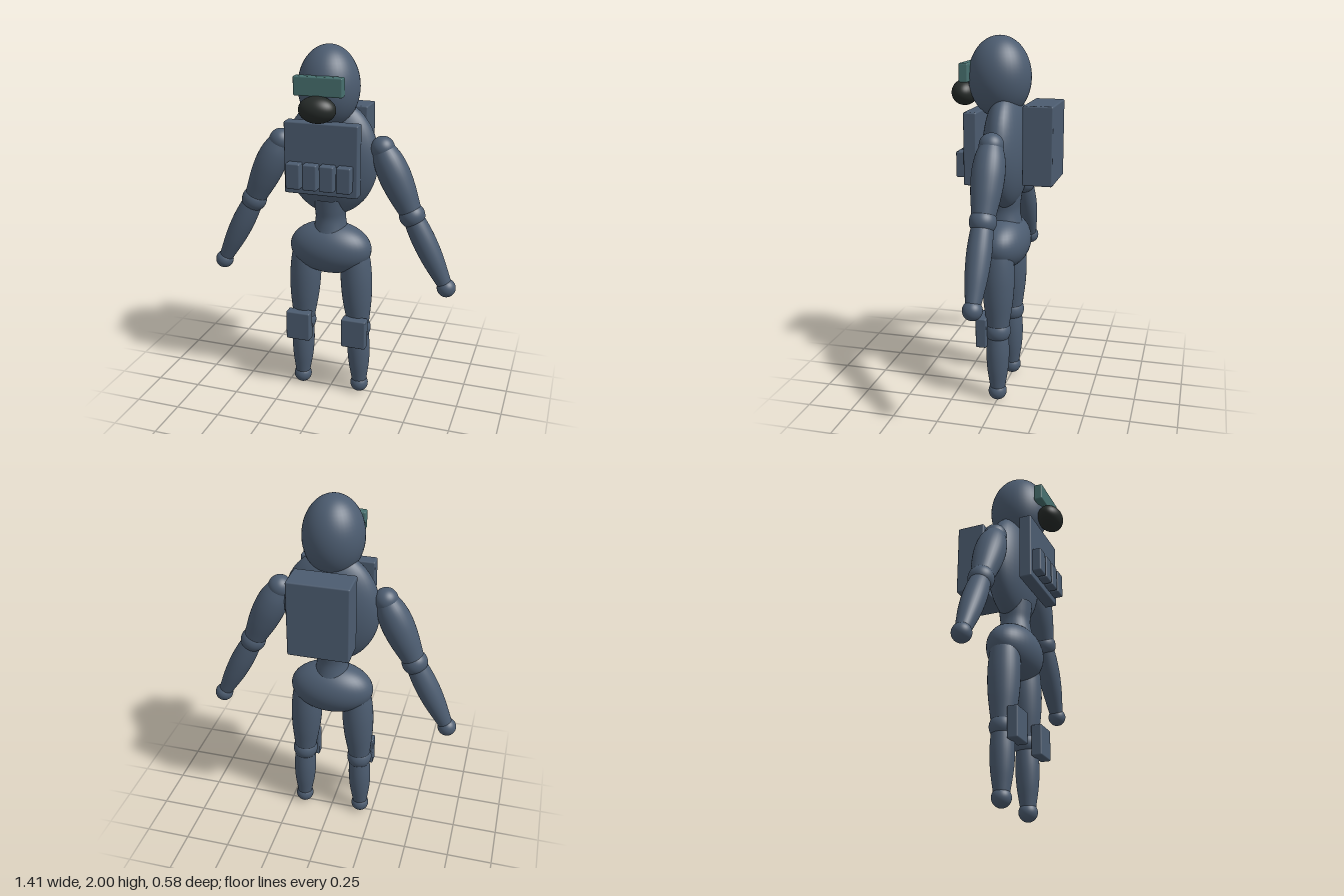
import * as THREE from 'three';
import { RoundedBoxGeometry } from 'three/addons/geometries/RoundedBoxGeometry.js';

export function createModel() {
  const model = new THREE.Group();
  model.name = 'suitedFigure';

  const mat = (name, color) => {
    const m = new THREE.MeshStandardMaterial({ color });
    m.name = name;
    return m;
  };
  const suit = mat('slate suit', 0x4c5c70);
  const glass = mat('teal glass', 0x47706f);
  const rubber = mat('dark rubber', 0x262b29);

  const add = (name, geometry, material, pos = [0, 0, 0]) => {
    const mesh = new THREE.Mesh(geometry, material);
    mesh.name = name;
    mesh.position.set(...pos);
    model.add(mesh);
    return mesh;
  };
  const ellipsoid = (name, pos, radii, material = suit) =>
    add(name, new THREE.SphereGeometry(1, 40, 28).scale(...radii), material, pos);
  const ball = (name, pos, r) => ellipsoid(name, pos, [r, r, r]);
  const box = (name, pos, size, material = suit) =>
    add(name, new RoundedBoxGeometry(...size, 2, 0.008), material, pos);

  // Swelling limb from a to b: start, widest and end radius
  const limb = (name, a, b, r0, rMax, r1) => {
    const start = new THREE.Vector3(...a);
    const dir = new THREE.Vector3(...b).sub(start);
    const len = dir.length();
    const outline = new THREE.SplineCurve([
      [r0, 0], [r0 + (rMax - r0) * 0.72, 0.17], [rMax, 0.38],
      [r1 + (rMax - r1) * 0.8, 0.62], [r1 + (rMax - r1) * 0.33, 0.85], [r1, 1],
    ].map(([r, t]) => new THREE.Vector2(r, t * len)));
    const points = [new THREE.Vector2(0, 0), ...outline.getPoints(24), new THREE.Vector2(0, len)];
    const mesh = add(name, new THREE.LatheGeometry(points, 32), suit, a);
    mesh.quaternion.setFromUnitVectors(new THREE.Vector3(0, 1, 0), dir.normalize());
  };

  // Trunk and head
  ellipsoid('head', [0, 1.785, 0.028], [0.162, 0.215, 0.168]);
  ellipsoid('torso', [0, 1.4, -0.012], [0.26, 0.32, 0.121]);
  ellipsoid('pelvis', [0, 0.888, 0], [0.232, 0.148, 0.14]);
  const waist = [[0.1, 0.98], [0.09, 1.02], [0.083, 1.07], [0.088, 1.12], [0.095, 1.18]];
  add('waist', new THREE.LatheGeometry(
    new THREE.SplineCurve(waist.map(p => new THREE.Vector2(...p))).getPoints(16), 32), suit);

  // Face gear
  box('visor', [0, 1.813, 0.193], [0.26, 0.099, 0.05], glass);
  ellipsoid('breathingMask', [0, 1.7, 0.22], [0.098, 0.069, 0.07], rubber);

  // Chest gear and pack
  box('chestPlate', [0, 1.428, 0.14], [0.4, 0.384, 0.07]);
  for (let i = 0; i < 4; i++) {
    box('chestPouch' + (i + 1), [-0.138 + i * 0.0915, 1.341, 0.194], [0.078, 0.138, 0.058]);
  }
  box('backpack', [0, 1.45, -0.21], [0.326, 0.416, 0.16]);

  // Arms and legs, mirrored
  for (const [side, s] of [['left', 1], ['right', -1]]) {
    const shoulder = [s * 0.285, 1.473, 0], elbow = [s * 0.453, 1.12, 0], hand = [s * 0.655, 0.728, 0];
    const hip = [s * 0.142, 0.88, 0], knee = [s * 0.164, 0.415, 0], foot = [s * 0.174, 0.054, 0];

    ball(side + 'Shoulder', shoulder, 0.064);
    limb(side + 'UpperArm', shoulder, elbow, 0.058, 0.086, 0.057);
    ball(side + 'Elbow', elbow, 0.07);
    limb(side + 'Forearm', elbow, hand, 0.052, 0.064, 0.036);
    ball(side + 'Hand', hand, 0.051);

    ball(side + 'HipJoint', hip, 0.084);
    limb(side + 'Thigh', hip, knee, 0.074, 0.088, 0.058);
    ball(side + 'Knee', knee, 0.071);
    limb(side + 'Shin', knee, foot, 0.055, 0.064, 0.038);
    ball(side + 'Foot', foot, 0.051);

    box(side + 'KneePad', [s * 0.164, 0.416, 0.08], [0.14, 0.17, 0.06]);
  }

  return model;
}
